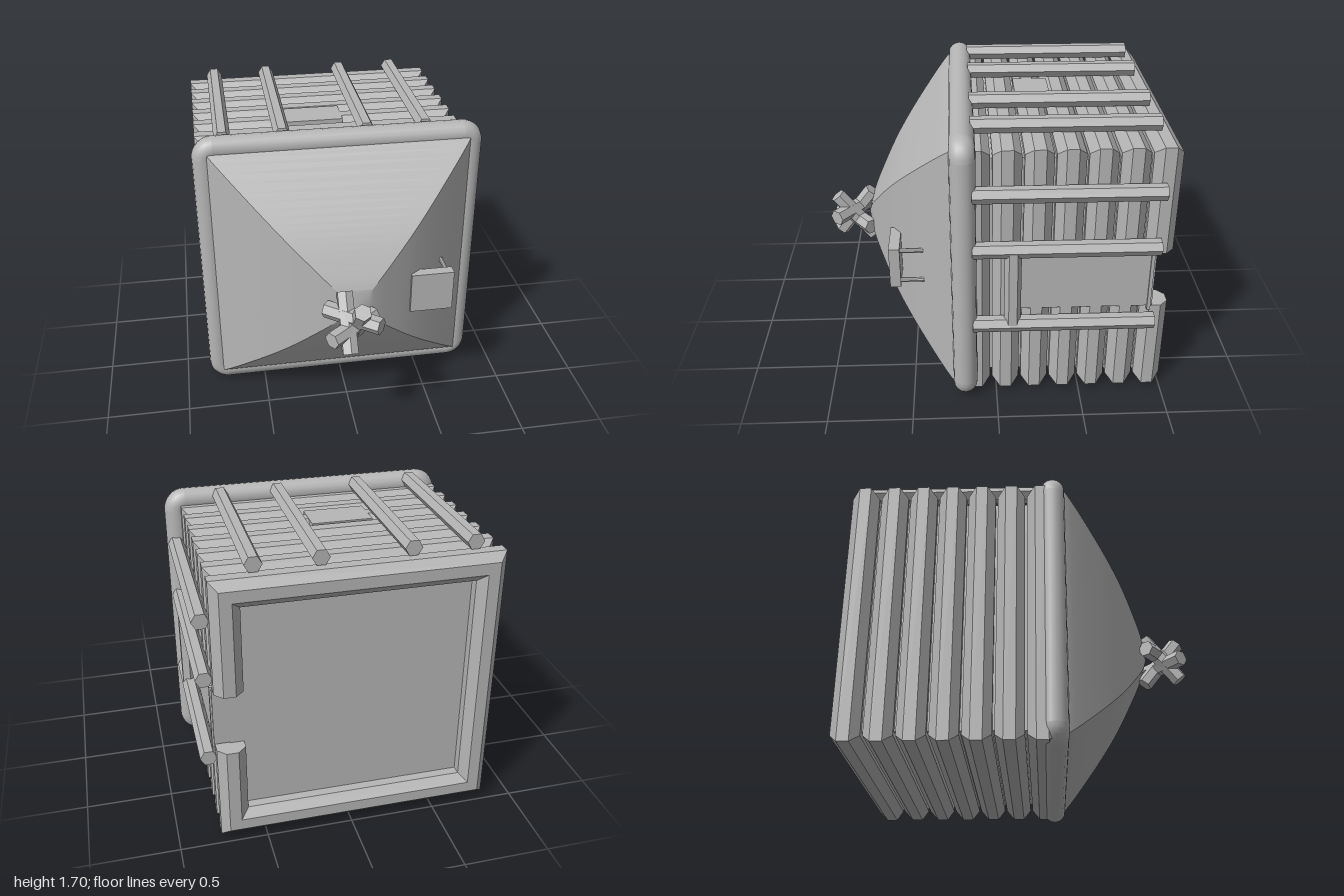
import * as THREE from 'three';
import { toCreasedNormals } from 'three/addons/utils/BufferGeometryUtils.js';

const grey = new THREE.MeshStandardMaterial({ color: 0xb6b6b6, side: THREE.DoubleSide });
grey.name = 'grey';

export function createModel() {
  const model = new THREE.Group();
  model.name = 'module';

  const add = (name, geometry, x = 0, y = 0, z = 0, parent = model) => {
    const mesh = new THREE.Mesh(toCreasedNormals(geometry, 0.5), grey);
    mesh.name = name;
    mesh.position.set(x, y, z);
    parent.add(mesh);
    return mesh;
  };
  // box given by its minimum and maximum corners
  const block = (name, a, b) =>
    add(name, new THREE.BoxGeometry(b[0] - a[0], b[1] - a[1], b[2] - a[2]),
      (a[0] + b[0]) / 2, (a[1] + b[1]) / 2, (a[2] + b[2]) / 2);

  // body core and its ribs: octagonal bars mitred into square rings
  const CX = -0.035, CY = 0.825, HALF = 0.715, R = 0.08;
  block('bodyCore', [CX - HALF, CY - HALF, -0.9], [CX + HALF, CY + HALF, 0.18]);

  const ringProfile = [];
  for (let i = 0; i <= 8; i++) {
    const a = (i + 0.5) * Math.PI / 4, r = R / Math.cos(Math.PI / 8);
    ringProfile.push(new THREE.Vector2(Math.SQRT2 * (HALF + r * Math.cos(a)), r * Math.sin(a)));
  }
  const ring = (sides, start) =>
    new THREE.LatheGeometry(ringProfile, sides, start, sides * Math.PI / 2).rotateX(Math.PI / 2);
  for (let i = 0; i < 6; i++) add('rib', ring(4, Math.PI / 4), CX, CY, 0.118 - i * 0.173);

  // rear rim, left side interrupted by the hatch opening
  const rimZ = -0.92, gapLow = 0.61, gapHigh = 0.965;
  add('rearRim', ring(3, Math.PI * 0.75), CX, CY, rimZ);
  for (const [s, gap] of [[1, gapHigh], [-1, gapLow]]) {
    const g = new THREE.CylinderGeometry(R / Math.cos(Math.PI / 8), R / Math.cos(Math.PI / 8), 1, 8, 1, false, Math.PI / 8);
    const p = g.attributes.position;
    for (let i = 0; i < p.count; i++) {
      const atCorner = p.getY(i) * s > 0;
      p.setY(i, atCorner ? CY + s * (HALF + p.getX(i)) : gap);
    }
    add('rearRimStub', g, CX + HALF, 0, rimZ);
  }

  // hatch box on the left side and panel on the roof
  block('hatch', [0.5, 0.615, -0.9], [0.765, 0.96, -0.13]);
  block('hatchFrame', [0.6, 0.59, -0.89], [0.775, 0.975, -0.87]);
  block('roofPanel', [-0.28, 1.5, -0.35], [0.075, 1.622, -0.14]);

  // rails along the roof and left side, hexagonal with flat tops
  const rail = (name, x, y) => {
    const g = new THREE.CylinderGeometry(0.048, 0.048, 1.05, 6, 1, false, Math.PI / 6);
    add(name, g.rotateX(Math.PI / 2), x, y, -0.385);
  };
  for (const x of [-0.67, -0.325, 0.17, 0.52]) rail('roofRail', x, 1.665);
  for (const y of [1.38, 1.035, 0.535]) rail('sideRail', 0.8, y);
  add('railUpright', new THREE.CylinderGeometry(0.048, 0.048, 0.48, 6), 0.8, 0.785, -0.088);

  // rounded square frame around the front
  const FY = 0.855, FZ = 0.187, FH = 0.78, CR = 0.05, T = 0.071;
  const frame = new THREE.Group();
  frame.name = 'frontFrame';
  frame.position.set(0, FY, FZ);
  model.add(frame);
  for (let i = 0; i < 4; i++) {
    const side = new THREE.Group();
    side.name = 'frameSide';
    side.rotation.z = i * Math.PI / 2;
    frame.add(side);
    add('frameBar', new THREE.CylinderGeometry(T, T, 2 * (FH - CR), 16, 1, true), FH, 0, 0, side);
    add('frameCorner', new THREE.TorusGeometry(CR, T, 16, 8, Math.PI / 2), FH - CR, FH - CR, 0, side);
  }

  // bowed four-sided nose
  const noseCurve = new THREE.SplineCurve([
    [0.785, 0.2], [0.755, 0.27], [0.555, 0.45], [0.375, 0.59], [0.21, 0.69], [0.1, 0.745], [0, 0.775],
  ].map(([r, z]) => new THREE.Vector2(r * Math.SQRT2, z)));
  const nose = new THREE.LatheGeometry(noseCurve.getPoints(30), 4, Math.PI / 4);
  add('nose', nose.rotateX(Math.PI / 2), 0, FY, 0);

  // cluster of four crossed hexagonal thrusters at the tip
  const tip = new THREE.Group();
  tip.name = 'thrusterCluster';
  tip.position.set(-0.032, 0.828, 0.865);
  model.add(tip);
  for (const s of [1, -1]) {
    const rod = () => new THREE.CylinderGeometry(0.05, 0.05, 0.35, 6);
    add('uprightThruster', rod().rotateX(s * 0.66), s * 0.033, 0, 0, tip);
    add('crossThruster', rod().rotateZ(Math.PI / 2).rotateY(-s * 0.66), 0, s * 0.033, 0, tip);
  }

  // sensor plate on two struts
  block('sensorPlate', [0.36, 0.68, 0.555], [0.615, 0.935, 0.618]);
  for (const y of [0.71, 0.91]) {
    add('sensorStrut', new THREE.CylinderGeometry(0.014, 0.014, 0.14, 8).rotateX(Math.PI / 2), 0.585, y, 0.49);
  }

  return model;
}
